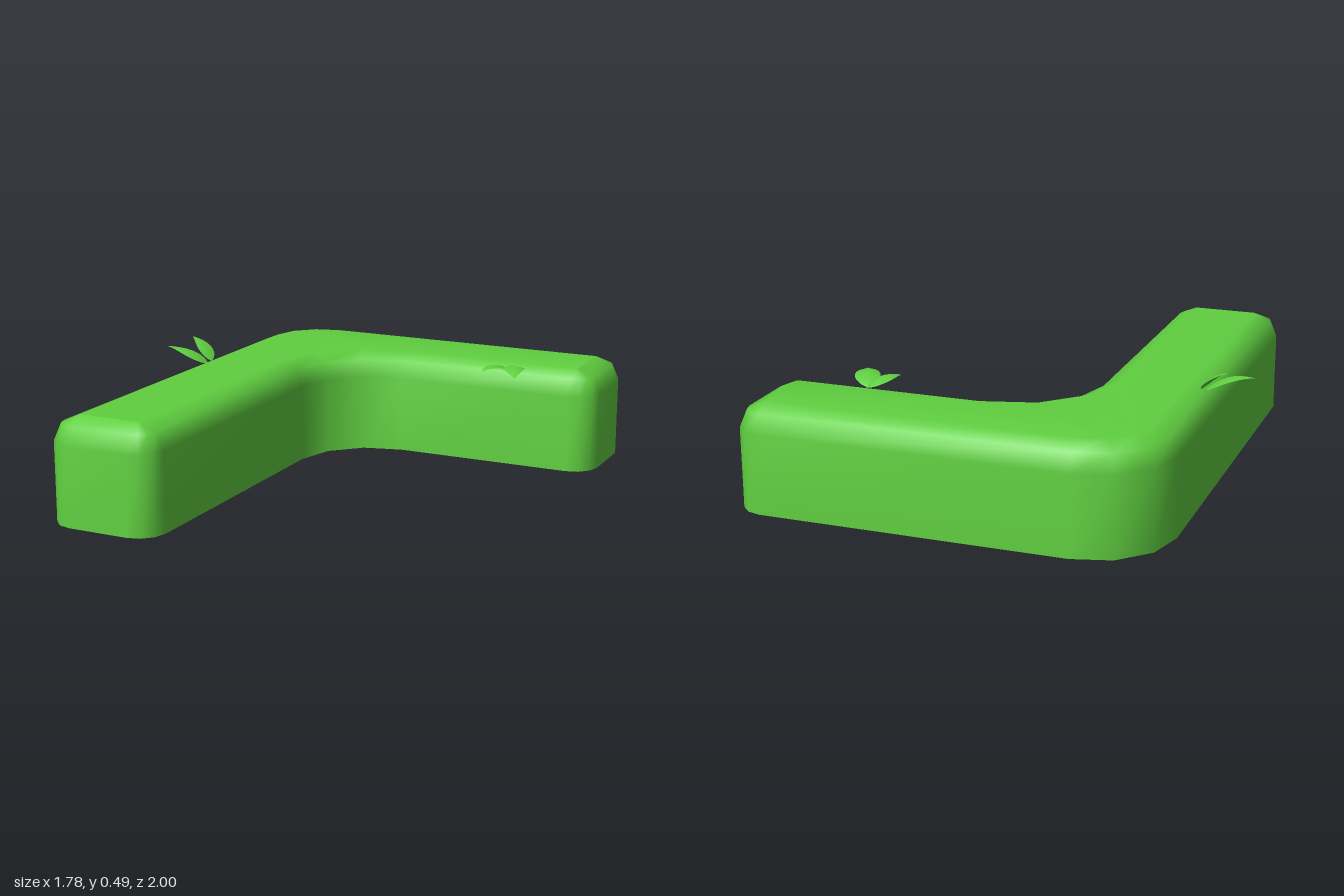
import * as THREE from 'three';

const green = new THREE.MeshStandardMaterial({ color: 0x60cf40, side: THREE.DoubleSide });
green.name = 'leafGreen';

function meshFrom(name, positions, index) {
  const geometry = new THREE.BufferGeometry();
  geometry.setAttribute('position', new THREE.Float32BufferAttribute(positions, 3));
  geometry.setIndex(index);
  geometry.computeVertexNormals();
  const mesh = new THREE.Mesh(geometry, green);
  mesh.name = name;
  return mesh;
}

// L-shaped hedge, open underneath: a rounded outline stacked in inset rings
function hedge() {
  // corner: centre x, centre z, radius (negative = concave), start and end angle
  const corners = [
    [-0.645, 0.895, 0.105, 90, 180],
    [-0.44, -0.69, 0.31, 180, 270],
    [0.785, -0.895, 0.105, 270, 360],
    [0.785, -0.645, 0.105, 0, 90],
    [0.035, -0.22, -0.32, 90, 0],
    [-0.39, 0.895, 0.105, 0, 90],
  ];
  const rings = [[0, 0], [0, 0.32], [0.03, 0.39], [0.1, 0.42]]; // inset, height
  const positions = [], index = [], n = corners.length * 4;
  for (const [inset, y] of rings) {
    for (const [cx, cz, r, from, to] of corners) {
      for (let k = 0; k < 4; k++) {
        const a = THREE.MathUtils.degToRad(from + (to - from) * k / 3);
        positions.push(cx + Math.cos(a) * (r - inset), y, cz + Math.sin(a) * (r - inset));
      }
    }
  }
  for (let j = 0; j < rings.length - 1; j++) {
    for (let i = 0; i < n; i++) {
      const a = j * n + i, b = j * n + (i + 1) % n;
      index.push(a, a + n, b, b, a + n, b + n);
    }
  }
  // Top: a strip joining the outer side to the inner side
  const t = (rings.length - 1) * n;
  for (let k = 0; k < n / 2 - 1; k++) {
    const a = t + k, b = t + n - 1 - k;
    index.push(a, b, a + 1, a + 1, b, b - 1);
  }
  return meshFrom('hedge', positions, index);
}

// Arched pointed leaf, slightly folded along its middle
function leaf(name, base, mid, tip, halfWidth) {
  const [p0, m, p2] = [base, mid, tip].map(p => new THREE.Vector3(...p));
  const control = m.clone().multiplyScalar(2).addScaledVector(p0, -0.5).addScaledVector(p2, -0.5);
  const curve = new THREE.QuadraticBezierCurve3(p0, control, p2);
  const side = p2.clone().sub(p0).cross(new THREE.Vector3(0, 1, 0)).normalize();
  const positions = [], index = [], steps = 8;
  for (let i = 0; i <= steps; i++) {
    const u = i / steps, p = curve.getPoint(u);
    const w = halfWidth * Math.sin(Math.PI * Math.pow(u, 0.8));
    for (const s of [-1, 0, 1]) {
      const q = p.clone().addScaledVector(side, s * w);
      positions.push(q.x, q.y - Math.abs(s) * w * 0.25, q.z);
    }
  }
  for (let i = 0; i < steps; i++) {
    for (let s = 0; s < 2; s++) {
      const a = i * 3 + s, b = a + 3;
      index.push(a, a + 1, b, b, a + 1, b + 1);
    }
  }
  return meshFrom(name, positions, index);
}

export function createModel() {
  const group = new THREE.Group();
  group.name = 'hedgeCorner';
  group.add(hedge());

  // Sprout on the outer side
  const sideSprout = new THREE.Group();
  sideSprout.name = 'sideSprout';
  sideSprout.add(
    leaf('longLeaf', [-0.7, 0.39, -0.15], [-0.78, 0.445, -0.13], [-0.89, 0.455, -0.13], 0.046),
    leaf('shortLeaf', [-0.69, 0.4, -0.165], [-0.742, 0.462, -0.19], [-0.81, 0.49, -0.21], 0.036)
  );

  // Sprout on the inner edge of the short arm
  const innerSprout = new THREE.Group();
  innerSprout.name = 'innerSprout';
  innerSprout.add(
    leaf('longLeaf', [0.52, 0.4, -0.58], [0.562, 0.44, -0.49], [0.605, 0.41, -0.39], 0.05),
    leaf('shortLeaf', [0.515, 0.4, -0.58], [0.475, 0.432, -0.505], [0.445, 0.415, -0.43], 0.035)
  );

  group.add(sideSprout, innerSprout);
  return group;
}
